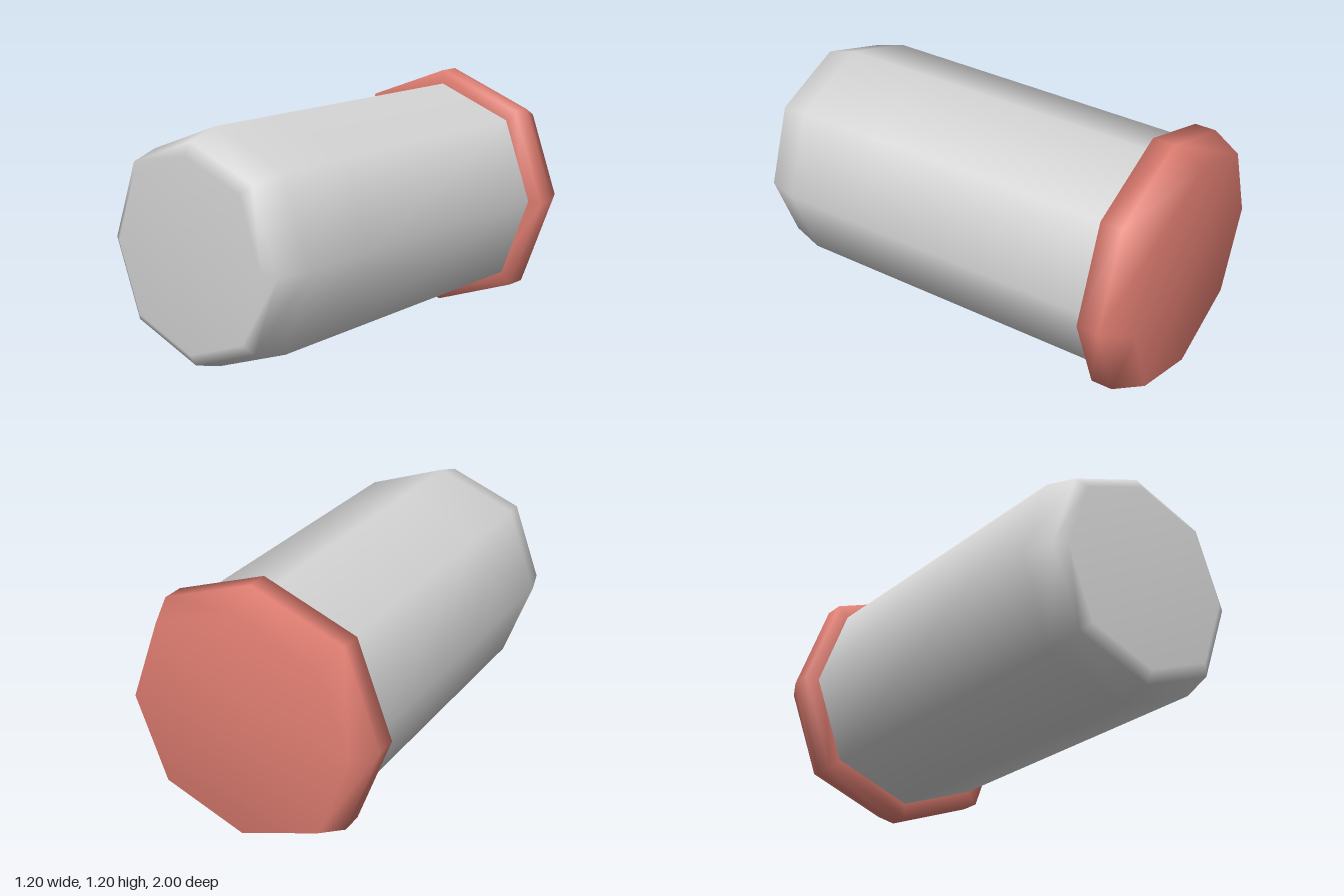
import * as THREE from 'three';

const grey = new THREE.MeshStandardMaterial({ color: 0xd6d6d6 });
grey.name = 'light grey';
const red = new THREE.MeshStandardMaterial({ color: 0xdf7d71 });
red.name = 'coral red';

// Smooth eight-sided solid along z from [radius, z] points, with slightly fuller diagonals
function octagonSolid(name, profile, material, centreY) {
  const geometry = new THREE.LatheGeometry(profile.map(([r, z]) => new THREE.Vector2(r, z)), 8);
  geometry.rotateX(Math.PI / 2);
  const p = geometry.attributes.position;
  for (let i = 0; i < p.count; i++) {
    const x = p.getX(i), y = p.getY(i);
    if (Math.min(Math.abs(x), Math.abs(y)) > 0.01) p.setXY(i, x * 1.03, y * 1.03);
  }
  const mesh = new THREE.Mesh(geometry, material);
  mesh.name = name;
  mesh.position.y = centreY;
  return mesh;
}

export function createModel() {
  const model = new THREE.Group();
  model.name = 'cappedCanister';

  // Barrel with a bevelled, closed front end
  model.add(octagonSolid('barrel', [
    [0.528, -0.78], [0.528, 0.45], [0.528, 0.82], [0.485, 0.965], [0.43, 1], [0, 1],
  ], grey, 0.604));

  // Wider rear cap with a chamfered back edge and a flat front lip
  model.add(octagonSolid('rearCap', [
    [0, -1], [0.532, -1], [0.6, -0.865], [0.6, -0.765], [0.5, -0.765],
  ], red, 0.6));

  return model;
}
